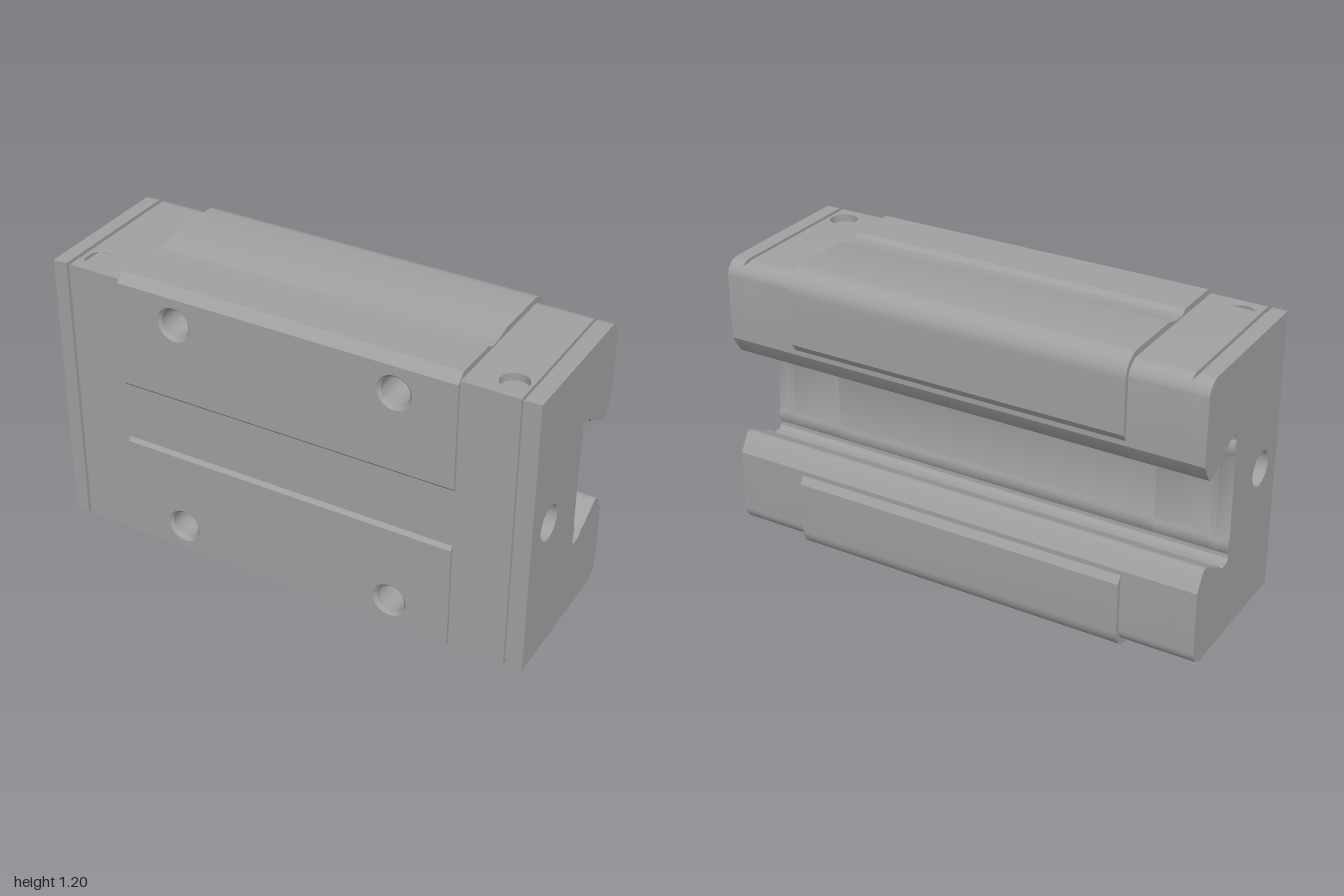
import * as THREE from 'three';
import { toCreasedNormals } from 'three/addons/utils/BufferGeometryUtils.js';

const MID = 0.6; // height of the mirror plane of the section

// Rounded back corner as [z, v] points, v measured from the mirror plane
function corner(z, v, r) {
  const pts = [];
  for (let i = 0; i <= 12; i++) {
    const a = Math.PI / 2 + (i / 12) * Math.PI / 2;
    pts.push([z + r * Math.cos(a), v + r * Math.sin(a)]);
  }
  return pts;
}

// Rail channel, from the back lip inward to the channel floor
const channel = [
  [-0.325, 0.275], [-0.325, 0.255], [-0.29, 0.195], [-0.28, 0.183], [-0.268, 0.18],
  [-0.255, 0.182], [-0.24, 0.19], [-0.16, 0.235], [-0.142, 0.24], [-0.132, 0.252], [-0.118, 0.265],
  [-0.077, 0.265], [-0.062, 0.25], [-0.06, 0.235], [-0.068, 0.218], [-0.07, 0.2],
  [-0.068, 0.182], [-0.06, 0.165],
];

// Full section from its upper half
function section(half) {
  const upper = half.map(([z, v]) => new THREE.Vector2(z, MID + v));
  const lower = half.map(([z, v]) => new THREE.Vector2(z, MID - v)).reverse();
  return new THREE.Shape([...upper, ...lower]);
}

function withHole(shape, x, y, r) {
  const hole = new THREE.Path();
  hole.absarc(x, y, r, 0, Math.PI * 2, true);
  shape.holes.push(hole);
  return shape;
}

function extrude(shape, depth) {
  return new THREE.ExtrudeGeometry(shape, { depth, bevelEnabled: false, curveSegments: 20 });
}

// Extrude a (z, y) section along x from x0 to x1
function alongX(shape, x0, x1) {
  return extrude(shape, x1 - x0).rotateY(-Math.PI / 2).translate(x1, 0, 0);
}

function rectangle(x0, y0, x1, y1) {
  return new THREE.Shape([[x0, y0], [x1, y0], [x1, y1], [x0, y1]].map(p => new THREE.Vector2(...p)));
}

export function createModel() {
  const group = new THREE.Group();
  const steel = new THREE.MeshStandardMaterial({ color: 0xa0a0a0 });
  steel.name = 'steel grey';
  const steelInside = steel.clone();
  steelInside.side = THREE.DoubleSide;

  function add(name, geometry, material = steel) {
    const mesh = new THREE.Mesh(toCreasedNormals(geometry, 0.5), material);
    mesh.name = name;
    group.add(mesh);
    return mesh;
  }

  // Carriage block, with recesses for the drilled mounting pads
  const front = 0.347, padDepth = 0.2;
  add('carriageBlock', alongX(section([
    [0.333, 0.12], [front, 0.135], [front, 0.3], [front - padDepth, 0.3],
    [front - padDepth, 0.565], [front, 0.565], [0.31, 0.6],
    [0.115, 0.6], [0.095, 0.583], [0.04, 0.583], [-0.015, 0.6],
    ...corner(-0.26, 0.515, 0.085), [-0.345, 0.305], ...channel,
  ]), -0.7, 0.7));

  // Mounting pads and their countersunk, cone-bottomed holes
  for (const side of [1, -1]) {
    const y = MID + side * 0.457;
    const pad = rectangle(-0.7, MID + side * 0.3, 0.7, MID + side * 0.565);
    for (const x of [-0.457, 0.457]) {
      withHole(pad, x, y, 0.07);
      const bore = [[0.07, 0], [0.058, -0.012], [0.058, -0.15], [0, -0.185]];
      const hole = new THREE.LatheGeometry(bore.map(p => new THREE.Vector2(...p)), 40);
      add('mountingHole', hole.rotateX(Math.PI / 2).translate(x, y, front), steelInside);
    }
    add('mountingPad', extrude(pad, padDepth).translate(0, 0, front - padDepth));
  }

  // End pieces
  const lidDepth = 0.03, top = 0.575, capFront = 0.333;
  const back = [...corner(-0.26, 0.51, 0.065), ...channel];
  const plain = [[capFront, top], ...back];
  const notched = [[capFront, top - lidDepth], [0.15, top - lidDepth], [0.15, top], ...back];
  const inset = plain.map(([z, v]) => [Math.min(z, 0.317), Math.min(v, 0.559)]);
  const ported = half => withHole(section(half), 0.187, MID, 0.07);

  for (const side of [1, -1]) {
    const span = (half, a, b) =>
      alongX(ported(half), Math.min(side * a, side * b), Math.max(side * a, side * b));
    add('endCap', span(notched, 0.7, 0.925));
    add('sealGroove', span(inset, 0.925, 0.942));
    add('endSeal', span(plain, 0.942, 1));

    // Shallow round pockets in the upper and lower faces of the cap
    for (const y of [MID + top, MID - top + lidDepth]) {
      const lid = withHole(rectangle(side * 0.7, 0.15, side * 0.925, capFront), side * 0.858, 0.243, 0.054);
      add('capPocket', extrude(lid, lidDepth).rotateX(Math.PI / 2).translate(0, y, 0));
    }
  }
  return group;
}
